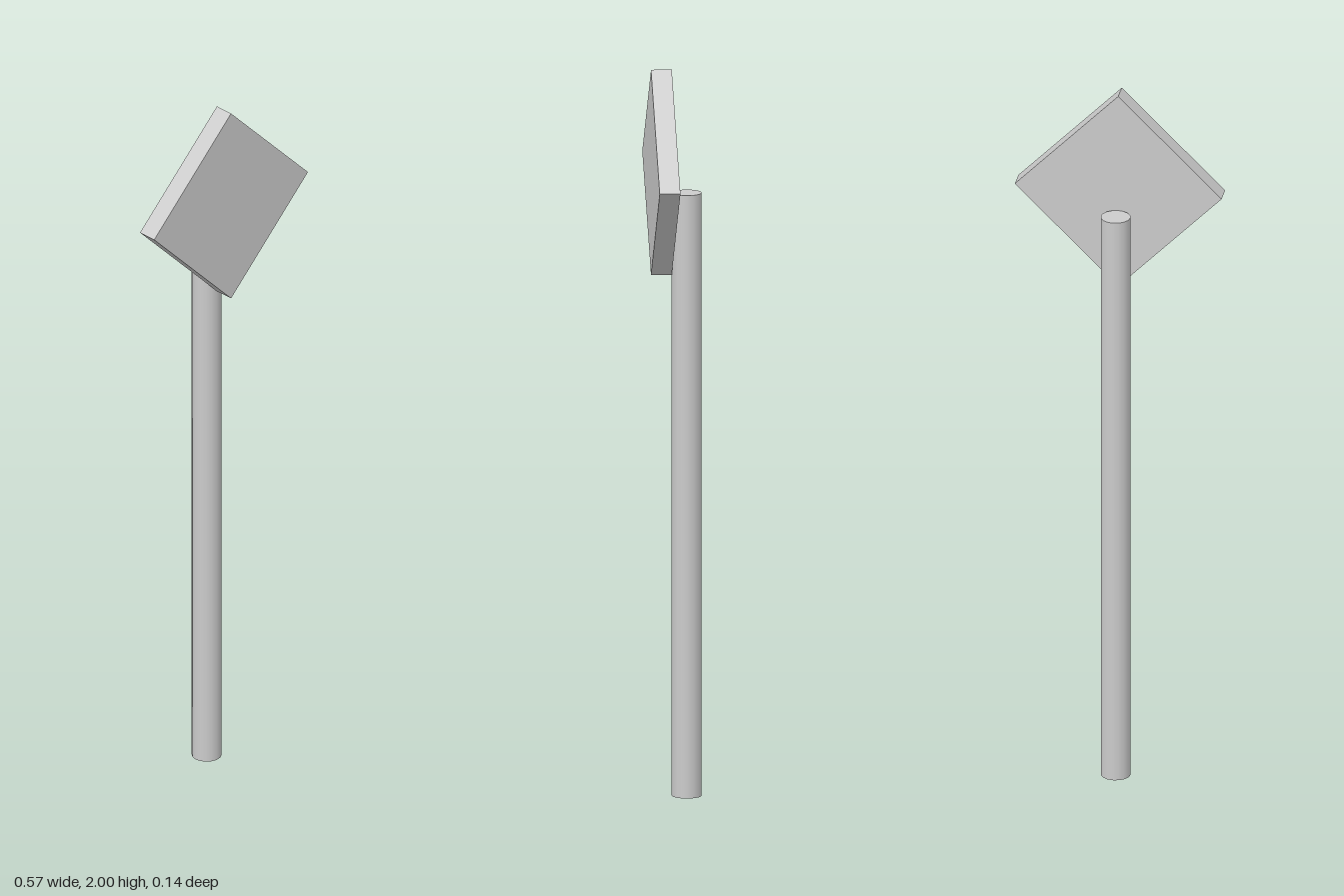
import * as THREE from 'three';

export function createModel() {
  const group = new THREE.Group();
  const material = new THREE.MeshStandardMaterial({ color: 0xcccccc });

  // Round post, standing behind the plate
  const postHeight = 1.66, postRadius = 0.0405;
  const post = new THREE.Mesh(
    new THREE.CylinderGeometry(postRadius, postRadius, postHeight, 16), material);
  post.name = 'post';
  post.position.set(0, postHeight / 2, -0.0285);
  group.add(post);

  // Square sign plate, turned to stand on its corner
  const side = 0.4, thickness = 0.056;
  const plate = new THREE.Mesh(new THREE.BoxGeometry(side, side, thickness), material);
  plate.name = 'signPlate';
  plate.rotation.z = Math.PI / 4;
  plate.position.set(0, 2 - side * Math.SQRT1_2, 0.012 + thickness / 2);
  group.add(plate);

  return group;
}
